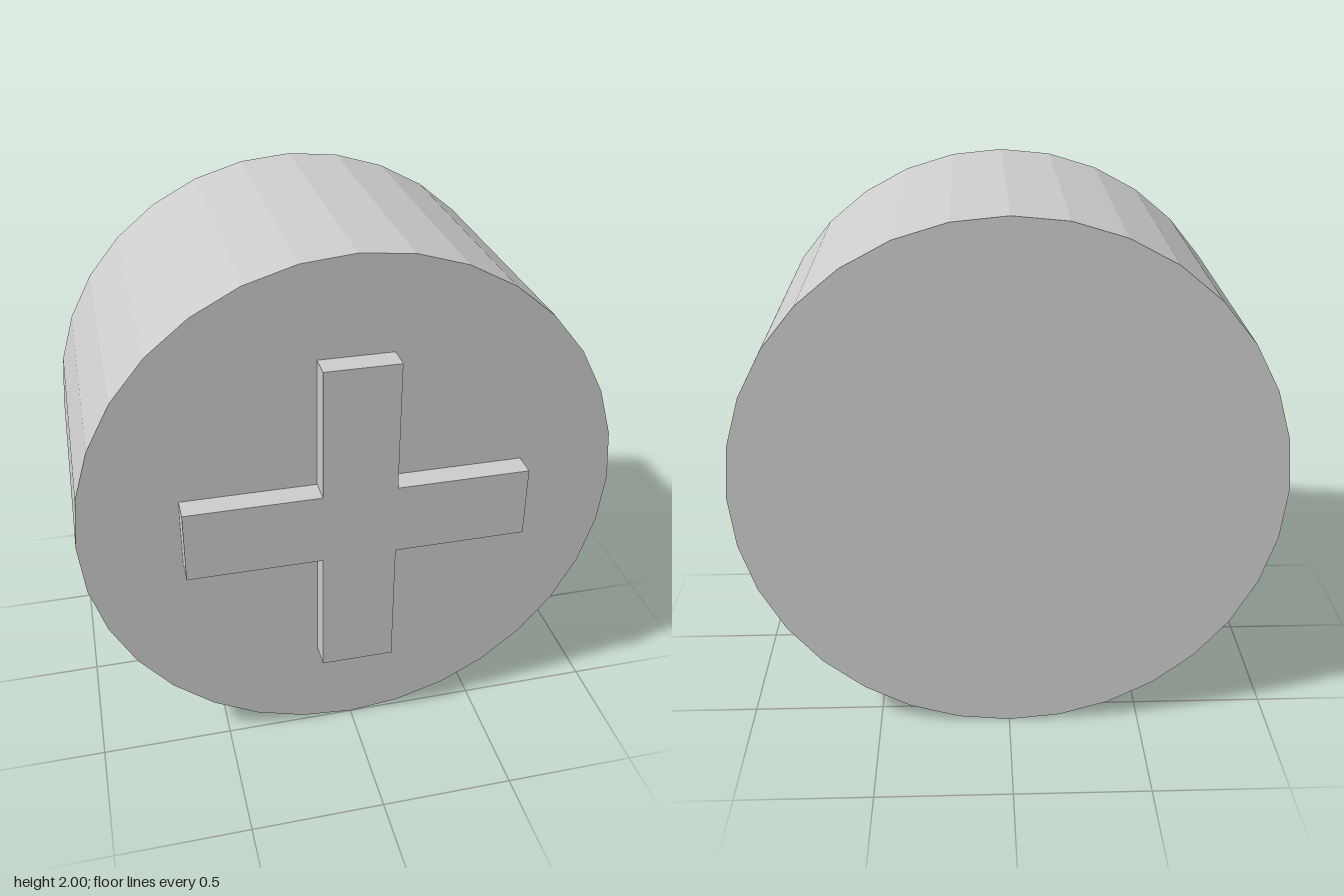
import * as THREE from 'three';

export function createModel() {
  const group = new THREE.Group();
  const grey = new THREE.MeshStandardMaterial({ color: 0xcccccc, flatShading: true });
  grey.name = 'light grey';

  // Round body lying along z
  const bodyBack = -0.59, bodyFront = 0.5;
  const bodyGeometry = new THREE.CylinderGeometry(1, 1, bodyFront - bodyBack, 32);
  bodyGeometry.rotateX(Math.PI / 2);
  const body = new THREE.Mesh(bodyGeometry, grey);
  body.name = 'body';
  body.position.set(0, 1, (bodyFront + bodyBack) / 2);
  group.add(body);

  // Raised cross on the front face: one arm outline turned four times
  const reach = 0.633, half = 0.137;
  const outline = [];
  for (let i = 0; i < 4; i++) {
    const turn = (i * Math.PI) / 2;
    for (const [x, y] of [[reach, -half], [reach, half], [half, half]]) {
      outline.push(new THREE.Vector2(x, y).rotateAround(new THREE.Vector2(), turn));
    }
  }
  const crossGeometry = new THREE.ExtrudeGeometry(new THREE.Shape(outline), {
    depth: 0.09,
    bevelEnabled: false,
  });
  const cross = new THREE.Mesh(crossGeometry, grey);
  cross.name = 'raisedCross';
  cross.position.set(0, 1, bodyFront);
  group.add(cross);

  return group;
}
